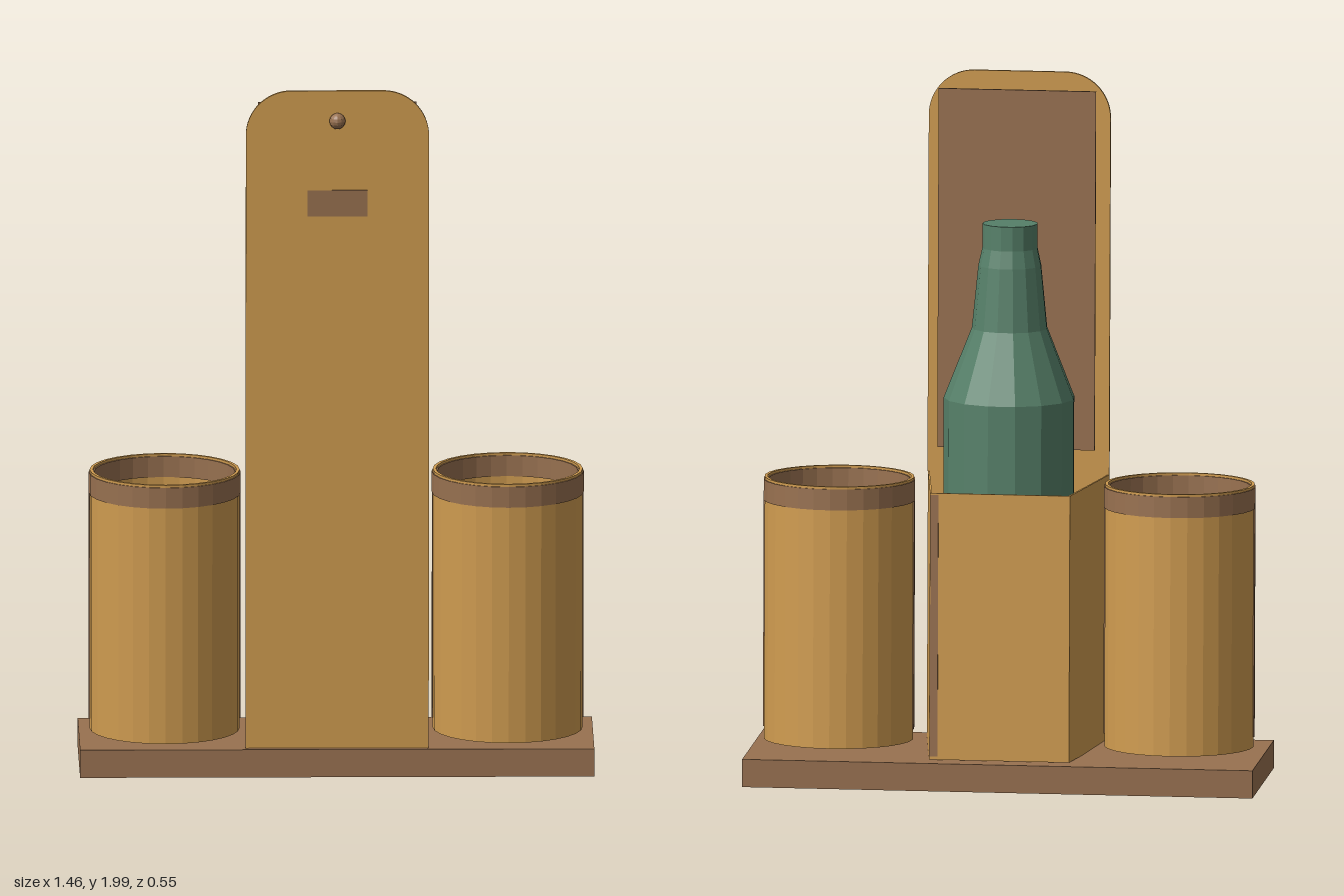
import * as THREE from 'three';

const flat = (name, color, side = THREE.FrontSide) => {
  const m = new THREE.MeshStandardMaterial({ color, side, flatShading: true });
  m.name = name;
  return m;
};

export function createModel() {
  const tan = flat('tan wood', 0xd09c50, THREE.DoubleSide);
  const brown = flat('brown wood', 0x987150);
  const green = flat('green glass', 0x568069);
  const silver = flat('pale silver', 0xd0dcdc, THREE.DoubleSide);

  const model = new THREE.Group();
  model.name = 'bottleCarrier';
  const add = (parent, name, geo, mat, x = 0, y = 0, z = 0) => {
    const m = new THREE.Mesh(geo, mat);
    m.name = name;
    m.position.set(x, y, z);
    parent.add(m);
    return m;
  };
  const box = (w, h, d) => new THREE.BoxGeometry(w, h, d);
  const lathe = (pts, n) => new THREE.LatheGeometry(pts.map(p => new THREE.Vector2(...p)), n);

  add(model, 'base', box(1.46, 0.08, 0.49), brown, 0, 0.04, -0.03);

  // Everything above the base leans slightly forward
  const body = new THREE.Group();
  body.name = 'leaningBody';
  body.rotation.x = 0.03;
  model.add(body);

  // Tapered sleeve around the bottle, open at top and bottom
  const trapezoid = (Target, f, b, zf, zb) => {
    const s = new Target();
    s.moveTo(-f, -zf); s.lineTo(f, -zf); s.lineTo(b, -zb); s.lineTo(-b, -zb);
    s.closePath();
    return s;
  };
  const sleeve = trapezoid(THREE.Shape, 0.26, 0.2, 0.19, -0.237);
  sleeve.holes.push(trapezoid(THREE.Path, 0.254, 0.195, 0.183, -0.231));
  const sleeveGeo = new THREE.ExtrudeGeometry(sleeve, { depth: 0.765, bevelEnabled: false });
  sleeveGeo.rotateX(-Math.PI / 2);
  add(body, 'sleeve', sleeveGeo, tan, 0, 0.077, 0);
  for (const s of [-1, 1])
    add(body, 'sleeveBatten', box(0.07, 0.75, 0.008), brown, s * 0.155, 0.462, -0.226);
  add(body, 'sleeveSeam', box(0.022, 0.75, 0.004), brown, 0.187, 0.462, -0.238);

  // Tall front board with rounded top corners
  const w = 0.26, top = 2.0, r = 0.13;
  const board = new THREE.Shape();
  board.moveTo(-w, 0.845);
  board.lineTo(w, 0.845);
  board.lineTo(w, top - r);
  board.absarc(w - r, top - r, r, 0, Math.PI / 2, false);
  board.lineTo(-w + r, top);
  board.absarc(-w + r, top - r, r, Math.PI / 2, Math.PI, false);
  board.closePath();
  add(body, 'frontBoard',
    new THREE.ExtrudeGeometry(board, { depth: 0.01, bevelEnabled: false, curveSegments: 8 }),
    tan, 0, -0.004, 0.18);
  add(body, 'frontPlate', box(0.17, 0.075, 0.006), brown, 0, 1.67, 0.191);
  add(body, 'knob', new THREE.SphereGeometry(0.023, 12, 8), brown, 0, 1.91, 0.197);

  // Backing panel held off the board by pegs
  add(body, 'backingPanel', box(0.45, 1.03, 0.008), brown, 0, 1.435, 0.126);
  for (const x of [-0.2, 0.2])
    for (const y of [0.93, 1.91]) {
      const peg = add(body, 'peg', new THREE.CylinderGeometry(0.008, 0.008, 0.055, 8), brown, x, y, 0.154);
      peg.rotation.x = Math.PI / 2;
    }

  // Bottle
  add(body, 'bottle', lathe([
    [0, 0.1], [0.187, 0.1], [0.187, 1.09], [0.108, 1.29], [0.09, 1.47], [0.079, 1.52], [0.079, 1.59], [0, 1.59],
  ], 15), green, 0, 0, -0.027);

  // Cups with collars, side slats and a metal dish inside
  for (const s of [-1, 1]) {
    const cup = new THREE.Group();
    cup.name = s > 0 ? 'leftCup' : 'rightCup';
    cup.position.set(s * 0.487, 0, -0.016);
    body.add(cup);
    add(cup, 'cupWall', lathe([
      [0.204, 0.1], [0.213, 0.1], [0.213, 0.852], [0.204, 0.852], [0.204, 0.1],
    ], 28), tan);
    add(cup, 'cupCollar', lathe([
      [0.2, 0.785], [0.216, 0.785], [0.216, 0.845], [0.2, 0.845], [0.2, 0.785],
    ], 28), brown);
    for (const t of [-1, 1])
      add(cup, 'cupSlat', box(0.045, 0.67, 0.016), brown, t * 0.193, 0.465, 0);
    add(cup, 'dish', lathe([
      [0, 0.081], [0.055, 0.081], [0.055, 0.11], [0.155, 0.22], [0.153, 0.235], [0.142, 0.225], [0, 0.125],
    ], 14), silver);
    add(cup, 'dishScrew', new THREE.SphereGeometry(0.02, 10, 6), brown, 0, 0.13, 0);
  }
  return model;
}
